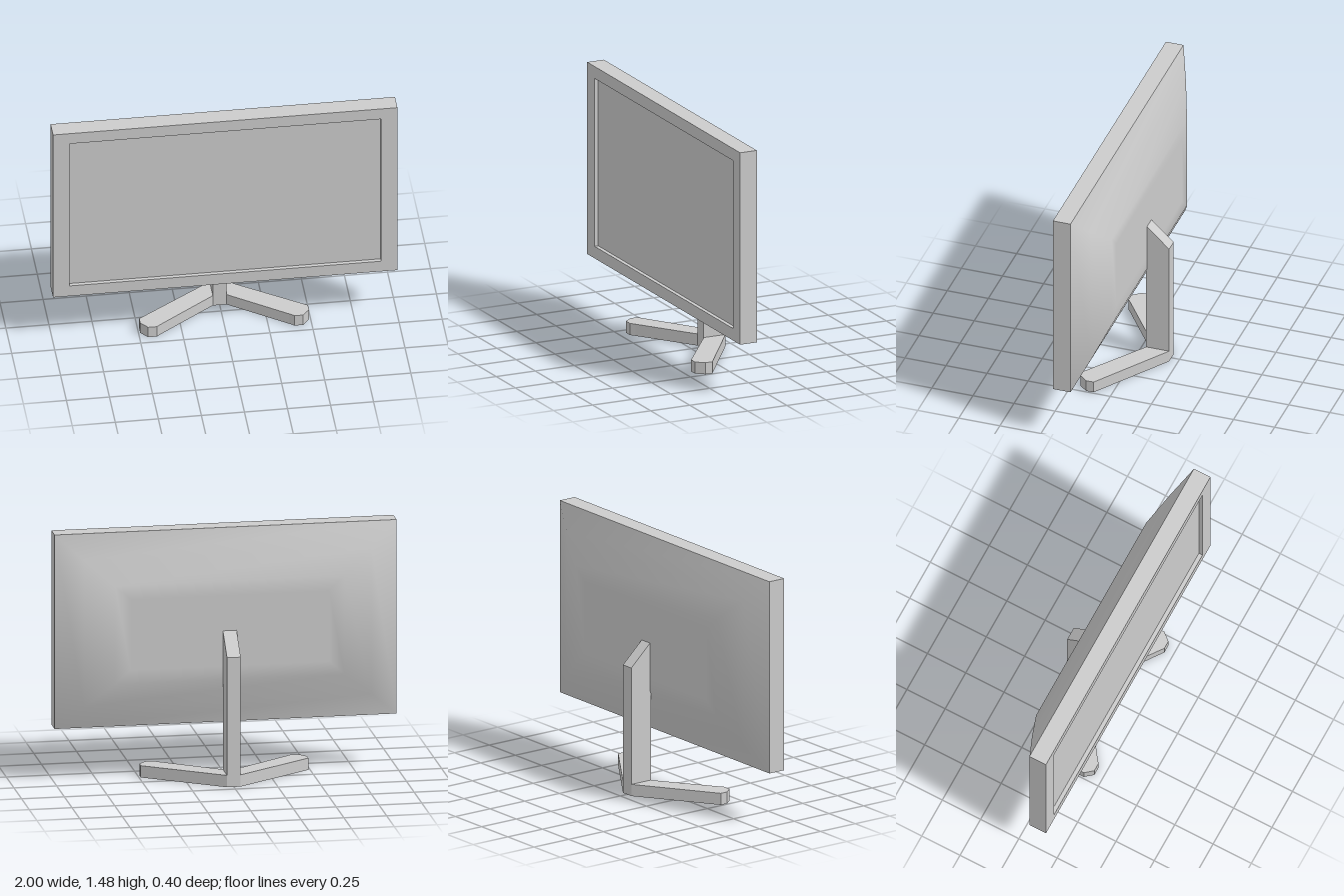
import * as THREE from 'three';

const material = new THREE.MeshStandardMaterial({ color: 0xcccccc });
const MID_Y = 0.898; // height of the display's centre

function addMesh(group, name, geometry) {
  const mesh = new THREE.Mesh(geometry, material);
  mesh.name = name;
  group.add(mesh);
  return mesh;
}

function rectangle(Type, w, h) {
  return new Type([[-w, -h], [w, -h], [w, h], [-w, h]].map(p => new THREE.Vector2(...p)));
}

function extrude(shape, depth) {
  return new THREE.ExtrudeGeometry(shape, { depth, bevelEnabled: false });
}

// Domed rear cover: rectangular loops [half width, half height, z], closed by a flat middle
function backShell() {
  const loops = [
    [1, 0.577, 0.07], [0.84, 0.436, 0.0], [0.67, 0.292, -0.065], [0.58, 0.21, -0.065],
  ];
  const positions = [];
  const index = [];
  for (const [w, h, z] of loops) {
    positions.push(-w, -h, z, w, -h, z, w, h, z, -w, h, z);
  }
  for (let r = 0; r < loops.length - 1; r++) {
    for (let i = 0; i < 4; i++) {
      const a = r * 4 + i, b = r * 4 + (i + 1) % 4;
      index.push(a, a + 4, b, b, a + 4, b + 4);
    }
  }
  const c = (loops.length - 1) * 4;
  index.push(c, c + 2, c + 1, c, c + 3, c + 2);
  const geometry = new THREE.BufferGeometry();
  geometry.setAttribute('position', new THREE.Float32BufferAttribute(positions, 3));
  geometry.setIndex(index);
  geometry.computeVertexNormals();
  return geometry;
}

export function createModel() {
  const model = new THREE.Group();
  model.name = 'monitor';

  // Display: bezel with an opening, recessed screen and rear cover
  const display = new THREE.Group();
  display.name = 'display';
  display.position.y = MID_Y;
  model.add(display);

  const bezel = rectangle(THREE.Shape, 1, 0.577);
  bezel.holes.push(rectangle(THREE.Path, 0.905, 0.505));
  addMesh(display, 'bezel', extrude(bezel, 0.107)).position.z = 0.07;
  addMesh(display, 'screen', new THREE.PlaneGeometry(1.81, 1.01)).position.z = 0.153;
  addMesh(display, 'rearCover', backShell());

  // Upright: side profile with a sloping top, extruded across x
  const side = new THREE.Shape([[0.06, 0], [0.2, 0], [0.2, 0.77], [0.06, 0.9]]
    .map(p => new THREE.Vector2(...p)));
  const upright = extrude(side, 0.08);
  upright.rotateY(Math.PI / 2); // profile x becomes -z
  upright.translate(-0.04, 0, 0);
  addMesh(model, 'upright', upright);

  // Foot: mirrored V outline as [x, z], with clipped toes
  const half = [[0.04, -0.2], [0.49, 0.105], [0.49, 0.15], [0.45, 0.198],
    [0.4, 0.198], [0.37, 0.175], [0.04, -0.06]];
  const outline = [...half, ...half.map(([x, z]) => [-x, z]).reverse()];
  const foot = extrude(new THREE.Shape(outline.map(([x, z]) => new THREE.Vector2(x, -z))), 0.07);
  foot.rotateX(-Math.PI / 2);
  addMesh(model, 'foot', foot);

  return model;
}
